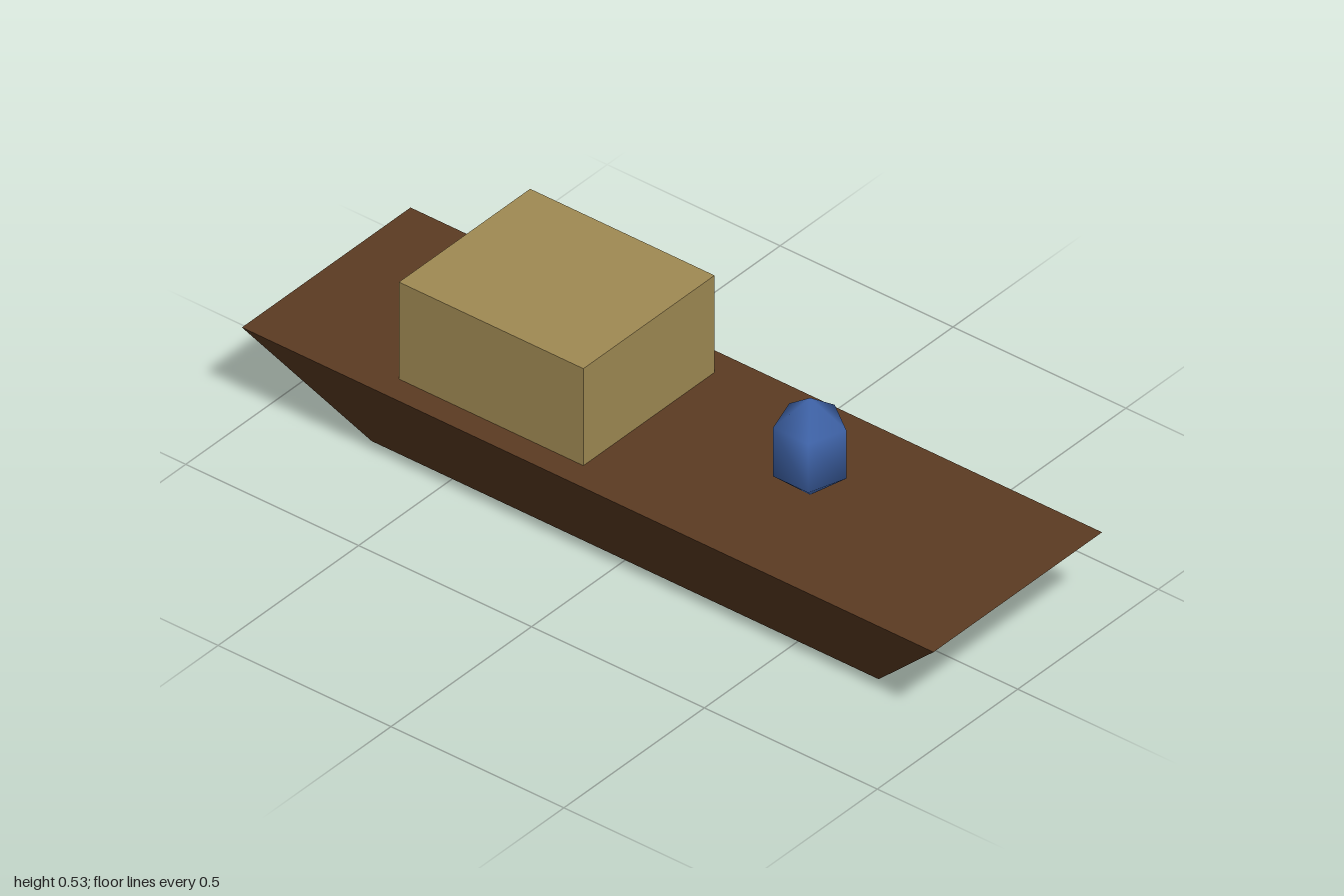
import * as THREE from 'three';

export function createModel() {
  const model = new THREE.Group();
  const mat = (name, color) => {
    const m = new THREE.MeshStandardMaterial({ color });
    m.name = name;
    return m;
  };
  const add = (name, geometry, material, x, y, z) => {
    const mesh = new THREE.Mesh(geometry, material);
    mesh.name = name;
    mesh.position.set(x, y, z);
    model.add(mesh);
    return mesh;
  };
  const deckY = 0.2667, height = 0.2667;

  // Hull: a box whose bottom corners are drawn inward
  const hull = new THREE.BoxGeometry(0.6, height, 2);
  const p = hull.attributes.position;
  for (let i = 0; i < p.count; i++) {
    if (p.getY(i) < 0) {
      p.setX(i, Math.sign(p.getX(i)) * 0.1667);
      p.setZ(i, Math.sign(p.getZ(i)) * 0.7333);
    }
  }
  hull.computeVertexNormals();
  add('hull', hull, mat('dark brown wood', 0x5c3b22), 0, height / 2, 0);

  // Cabin towards the stern
  add('cabin', new THREE.BoxGeometry(0.4667, height, 0.5333),
    mat('tan wood', 0xa08a53), 0, deckY + height / 2, -0.3333);

  // Five-sided smooth figure on the foredeck, one corner towards +x
  const figure = new THREE.SphereGeometry(0.1, 5, 3);
  figure.rotateY(Math.PI);
  figure.scale(1, 4 / 3, 1);
  add('figure', figure, mat('blue', 0x4065ab), 0, deckY + height / 2, 0.4);

  return model;
}
